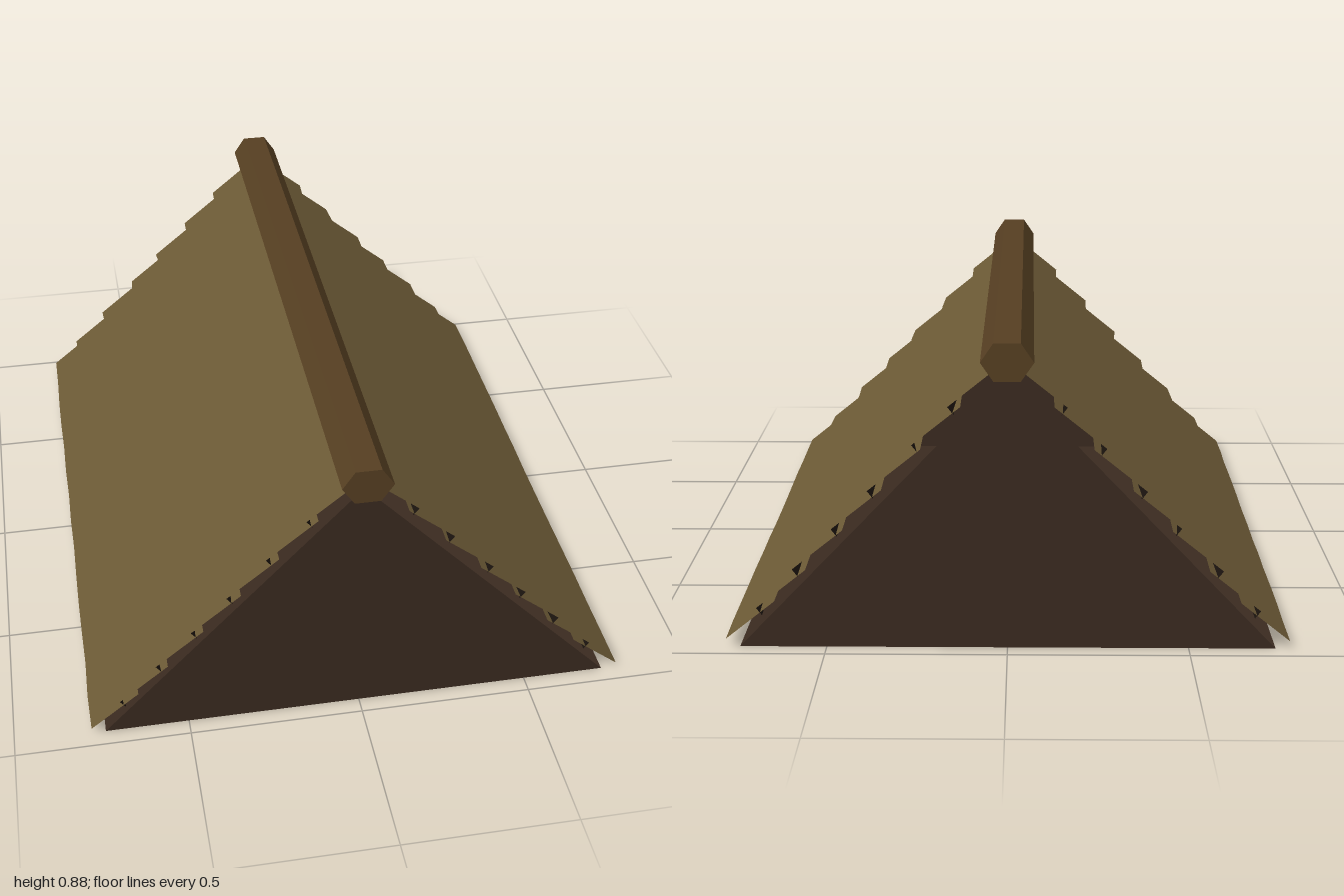
import * as THREE from 'three';

const SEGMENTS = 14;
const HALF_LENGTH = 0.957;

const paint = (color, side = THREE.FrontSide) =>
  new THREE.MeshStandardMaterial({ color, side });

// Seeded noise source
function seeded(seed) {
  return () => {
    seed = (seed * 16807) % 2147483647;
    return seed / 2147483647;
  };
}

function addMesh(parent, name, geometry, material) {
  const mesh = new THREE.Mesh(geometry, material);
  mesh.name = name;
  parent.add(mesh);
  return mesh;
}

// Ruled strip between two rows of points running along +z
function strip(upper, lower, flip) {
  const positions = [], index = [];
  upper.forEach((p, i) => positions.push(...p, ...lower[i]));
  for (let i = 0; i < upper.length - 1; i++) {
    const a = 2 * i, b = a + 1, c = a + 2, d = a + 3;
    if (flip) index.push(a, b, c, c, b, d);
    else index.push(a, c, b, b, c, d);
  }
  const geometry = new THREE.BufferGeometry();
  geometry.setAttribute('position', new THREE.Float32BufferAttribute(positions, 3));
  geometry.setIndex(index);
  geometry.computeVertexNormals();
  return geometry;
}

export function createModel() {
  const model = new THREE.Group();
  model.name = 'shingledRoof';

  const coreMaterial = paint(0x3a2a20, THREE.DoubleSide);
  const shingleMaterial = paint(0x6b5935, THREE.DoubleSide);
  const buttMaterial = paint(0x19120d, THREE.DoubleSide);
  const ridgeMaterial = paint(0x563f22);

  // Gable ends
  const triangle = new THREE.Shape([
    new THREE.Vector2(-0.74, 0.01),
    new THREE.Vector2(0.74, 0.01),
    new THREE.Vector2(0, 0.79),
  ]);
  for (const s of [1, -1]) {
    const gable = addMesh(model, s > 0 ? 'frontGable' : 'backGable',
      new THREE.ShapeGeometry(triangle), coreMaterial);
    gable.position.z = s * 0.95;
    if (s < 0) gable.rotation.y = Math.PI;
  }

  // Underside of the roof
  const underside = addMesh(model, 'underside', new THREE.PlaneGeometry(1.48, 1.9), coreMaterial);
  underside.rotation.x = Math.PI / 2;
  underside.position.y = 0.01;

  // Overlapping shingle courses with wavy lower edges: [x, y] of each edge
  const courses = [
    [0.78, 0.033], [0.692, 0.125], [0.588, 0.24], [0.48, 0.355],
    [0.373, 0.47], [0.265, 0.588], [0.158, 0.702],
  ];
  const random = seeded(4711);
  for (const s of [1, -1]) {
    const slope = new THREE.Group();
    slope.name = s > 0 ? 'leftSlope' : 'rightSlope';
    model.add(slope);
    courses.forEach(([x, y], row) => {
      const upper = [], lower = [], butt = [];
      const amplitude = row === 0 ? 0.003 : 0.011;
      for (let i = 0; i <= SEGMENTS; i++) {
        const z = HALF_LENGTH * (2 * i / SEGMENTS - 1);
        const slide = (random() * 2 - 1) * amplitude;
        const ex = x + slide * 0.77, ey = y - slide * 0.64;
        upper.push([s * (x - 0.14), y + 0.113, z]);
        lower.push([s * ex, ey, z]);
        butt.push([s * (ex - 0.016), ey - 0.021, z]);
      }
      addMesh(slope, 'shingleCourse', strip(upper, lower, s < 0), shingleMaterial);
      // Dark butt edge closing the step down to the next course
      if (row > 0) addMesh(slope, 'shingleButt', strip(lower, butt, s < 0), buttMaterial);
    });
  }

  // Hexagonal ridge beam
  const hexagon = new THREE.Shape([
    [0.071, 0.833], [0.036, 0.885], [-0.036, 0.885],
    [-0.071, 0.833], [-0.036, 0.782], [0.036, 0.782],
  ].map(([x, y]) => new THREE.Vector2(x, y)));
  const beam = new THREE.ExtrudeGeometry(hexagon, { depth: 2, bevelEnabled: false });
  beam.translate(0, 0, -1);
  addMesh(model, 'ridgeBeam', beam, ridgeMaterial);

  return model;
}
